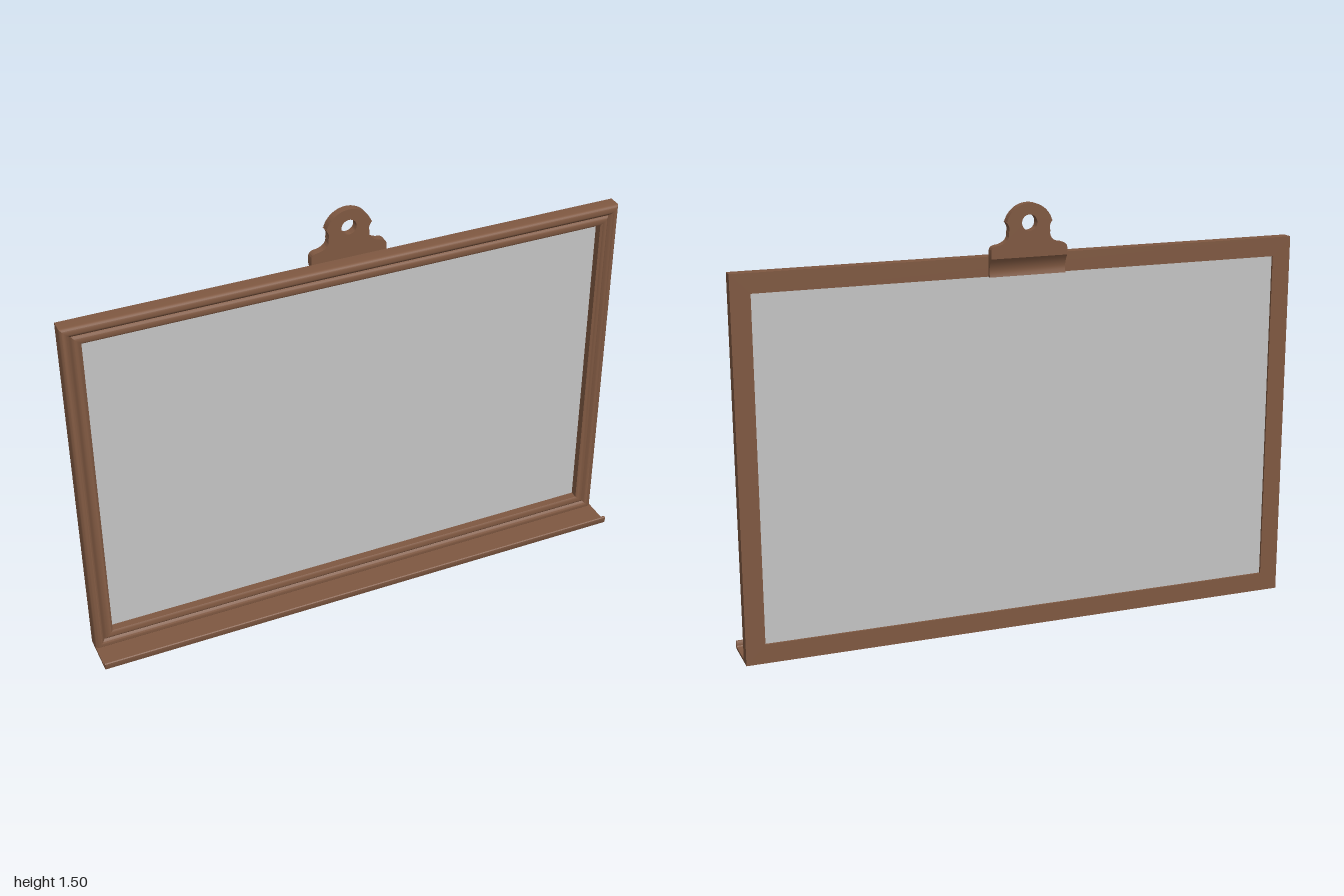
import * as THREE from 'three';
import { toCreasedNormals } from 'three/addons/utils/BufferGeometryUtils.js';

const W = 1, H = 1.325, BACK = -0.067;

const wood = new THREE.MeshStandardMaterial({ color: 0x7f5841 });
wood.name = 'brown';
const pane = new THREE.MeshStandardMaterial({ color: 0xc4c4c4 });
pane.name = 'paleGrey';

// Sweep a closed [inset, z] profile round the rectangle with mitred corners
function mitredFrame(profile) {
  const pos = [];
  const corner = (k, [d, z]) => {
    const sx = k === 1 || k === 2 ? 1 : -1;
    return [sx * (W - d), k < 2 ? d : H - d, z];
  };
  for (let k = 0; k < 4; k++) {
    const n = (k + 1) % 4;
    profile.forEach((p, i) => {
      const q = profile[(i + 1) % profile.length];
      const a = corner(k, p), b = corner(n, p), c = corner(n, q), d = corner(k, q);
      pos.push(...a, ...b, ...c, ...a, ...c, ...d);
    });
  }
  const g = new THREE.BufferGeometry();
  g.setAttribute('position', new THREE.Float32BufferAttribute(pos, 3));
  return toCreasedNormals(g, 0.6);
}

// Extrude a [z, y] profile along x, centred on x = 0
function alongX(points, length) {
  const shape = new THREE.Shape(points.map(([z, y]) => new THREE.Vector2(z, y)));
  const g = new THREE.ExtrudeGeometry(shape, { depth: length, bevelEnabled: false });
  g.rotateY(-Math.PI / 2).translate(length / 2, 0, 0);
  return toCreasedNormals(g, 0.6);
}

export function createModel() {
  const group = new THREE.Group();
  const add = (name, geometry, material) => {
    const mesh = new THREE.Mesh(geometry, material);
    mesh.name = name;
    group.add(mesh);
    return mesh;
  };

  // Moulded frame: rounded outer bead, narrow groove, softer inner bead
  const profile = [[0, BACK], [0, -0.026]];
  for (let i = 1; i <= 8; i++) {
    const a = Math.PI - (i / 8) * Math.PI * 0.82;
    profile.push([0.017 + 0.017 * Math.cos(a), -0.026 + 0.015 * Math.sin(a)]);
  }
  profile.push([0.036, -0.023], [0.039, -0.018], [0.044, -0.0145], [0.05, -0.013],
    [0.06, -0.0145], [0.067, -0.019], [0.067, BACK]);
  add('frame', mitredFrame(profile), wood);

  // Panel set between the inner edges
  add('panel', new THREE.BoxGeometry(1.868, 1.193, 0.012).translate(0, H / 2, -0.053), pane);

  // Ledge with a small upturned lip
  add('ledge', alongX([
    [BACK, 0], [0.088, 0], [0.094, 0.002], [0.097, 0.008], [0.097, 0.026], [0.094, 0.029],
    [0.089, 0.029], [0.087, 0.026], [0.087, 0.012], [0.084, 0.009], [BACK, 0.009],
  ], 2 * W), wood);

  // Hanger plate: shoulders, neck and round head with a hole
  const s = new THREE.Shape();
  s.moveTo(-0.135, 1.32);
  s.lineTo(0.135, 1.32);
  s.lineTo(0.135, 1.342);
  s.quadraticCurveTo(0.135, 1.362, 0.113, 1.364);
  s.bezierCurveTo(0.085, 1.367, 0.068, 1.385, 0.074, 1.405);
  s.quadraticCurveTo(0.066, 1.42, 0.082, 1.44);
  const a = Math.atan2(0.023, 0.08);
  s.absarc(0, 1.417, 0.083, a, Math.PI - a, false);
  s.lineTo(-0.082, 1.44);
  s.quadraticCurveTo(-0.066, 1.42, -0.074, 1.405);
  s.bezierCurveTo(-0.068, 1.385, -0.085, 1.367, -0.113, 1.364);
  s.quadraticCurveTo(-0.135, 1.362, -0.135, 1.342);
  s.closePath();
  s.holes.push(new THREE.Path().absarc(0, 1.435, 0.027, 0, Math.PI * 2, true));
  const plate = new THREE.ExtrudeGeometry(s, { depth: 0.028, bevelEnabled: false, curveSegments: 16 });
  add('hangerPlate', toCreasedNormals(plate.translate(0, 0, -0.096), 0.6), wood);

  // Curved foot of the hanger lying against the back of the frame
  add('hangerFoot', alongX([
    [-0.066, 1.257], [-0.066, 1.32], [-0.096, 1.32], [-0.088, 1.309], [-0.081, 1.296],
    [-0.077, 1.282], [-0.077, 1.27], [-0.081, 1.257],
  ], 0.27), wood);

  return group;
}
